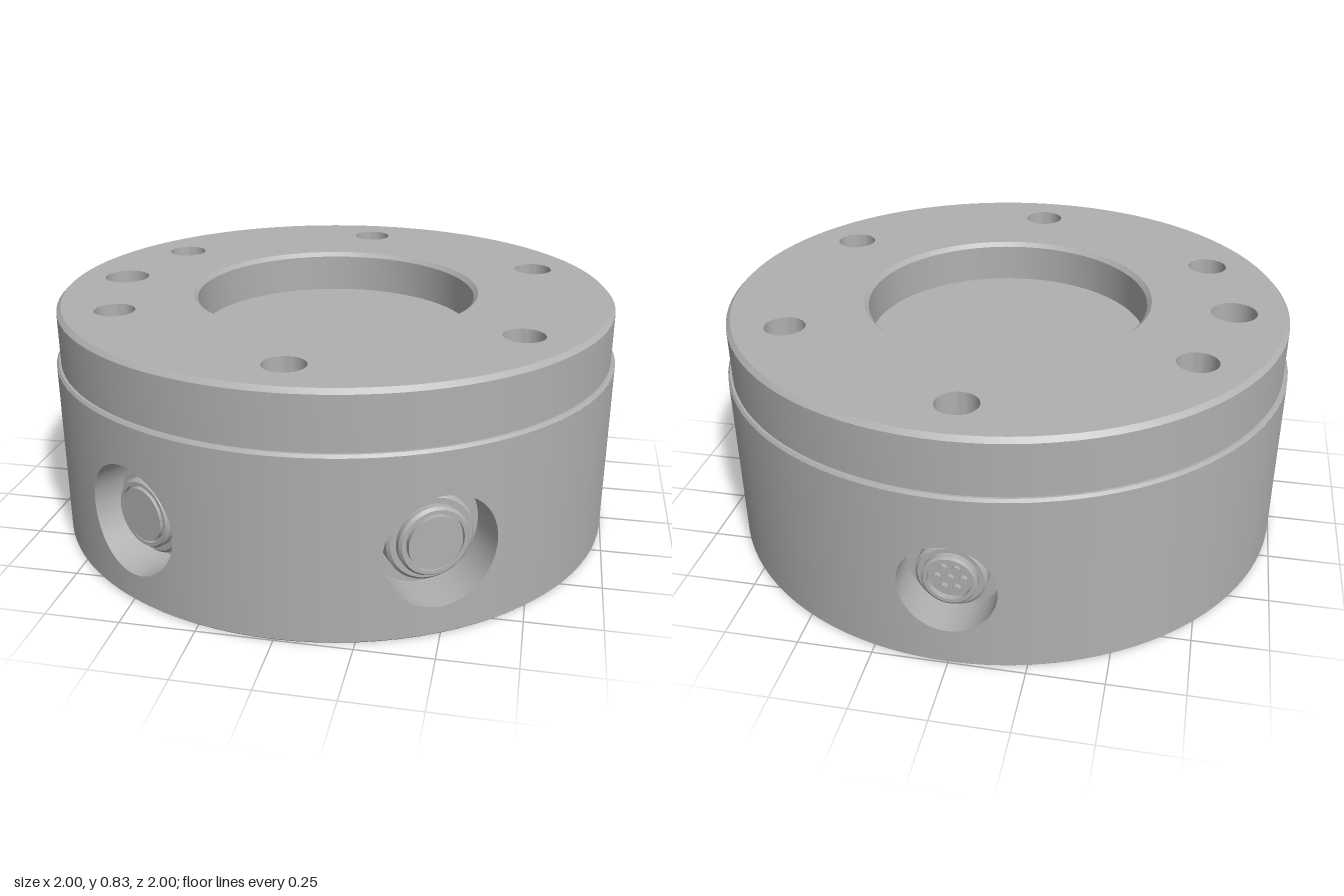
import * as THREE from 'three';
import { toCreasedNormals } from 'three/addons/utils/BufferGeometryUtils.js';

const SEG = 96;
const PORT_Y = 0.29;
const BOTTOM = 0.006, STEP = 0.625, TOP = 0.83;

// Surface of revolution with sharp edges kept sharp
function lathe(points, segments = SEG) {
  const g = new THREE.LatheGeometry(points.map(p => new THREE.Vector2(p[0], p[1])), segments);
  return toCreasedNormals(g, 0.5);
}

// Regular grid surface; fn(u, v) returns [position, normal]
function grid(nu, nv, fn) {
  const pos = [], nor = [], idx = [];
  for (let i = 0; i <= nu; i++) {
    for (let j = 0; j <= nv; j++) {
      const [p, n] = fn(i / nu, j / nv);
      pos.push(...p);
      nor.push(...n);
      if (i < nu && j < nv) {
        const a = i * (nv + 1) + j, b = a + nv + 1;
        idx.push(a, b, b + 1, a, b + 1, a + 1);
      }
    }
  }
  const g = new THREE.BufferGeometry();
  g.setAttribute('position', new THREE.Float32BufferAttribute(pos, 3));
  g.setAttribute('normal', new THREE.Float32BufferAttribute(nor, 3));
  g.setIndex(idx);
  return g;
}

export function createModel() {
  const metal = new THREE.MeshStandardMaterial({ color: 0xb0b0b0 });
  const root = new THREE.Group();
  const add = (parent, name, geometry) => {
    const m = new THREE.Mesh(geometry, metal);
    m.name = name;
    parent.add(m);
    return m;
  };

  // Underside with a fine chamfer
  add(root, 'base', lathe([[0, 0], [0.994, 0], [1, BOTTOM]]));

  // Step, upper ring and chamfered top edge
  add(root, 'upperRing', lathe([[1, STEP], [0.993, 0.635], [0.985, 0.635], [0.985, 0.815], [0.97, TOP]]));

  // Top face with the centre opening, six screw holes and one pin hole
  const holes = [{ name: 'pinHole', x: -0.795, z: 0, r: 0.08, depth: 0.1, tip: 0 }];
  for (let i = 0; i < 6; i++) {
    const a = i * Math.PI / 3;
    holes.push({ name: 'screwHole', x: 0.795 * Math.sin(a), z: 0.795 * Math.cos(a), r: 0.07, depth: 0.17, tip: 0.04 });
  }
  const face = new THREE.Shape().absarc(0, 0, 0.97, 0, Math.PI * 2);
  const cut = (x, y, r) => face.holes.push(new THREE.Path().absarc(x, y, r, 0, Math.PI * 2, true));
  cut(0, 0, 0.51);
  for (const h of holes) {
    cut(h.x, -h.z, h.r);
    const bottom = TOP - h.depth;
    add(root, h.name, lathe([[h.r, TOP], [h.r, bottom], [0, bottom - h.tip]], 48)).position.set(h.x, 0, h.z);
  }
  add(root, 'topFace', new THREE.ShapeGeometry(face, 48).rotateX(-Math.PI / 2).translate(0, TOP, 0));

  // Shallow centre recess
  add(root, 'centreRecess', lathe([[0.51, TOP], [0.495, 0.815], [0.495, 0.68], [0, 0.68]]));

  // Side ports: bores cut radially into the lower wall
  const HALF = 0.3;
  const ports = [
    { name: 'frontRightPort', angle: -Math.PI / 6, r: 0.19, floor: 0.84 },
    { name: 'frontLeftPort', angle: Math.PI / 6, r: 0.19, floor: 0.84 },
    { name: 'backPort', angle: Math.PI, r: 0.16, floor: 0.86, pins: true },
  ];
  ports.forEach((port, k) => {
    const { r, floor } = port;
    const g = new THREE.Group();
    g.name = port.name;
    g.position.y = PORT_Y;
    g.rotation.y = port.angle;
    root.add(g);

    // Curved wall panel around the bore
    add(g, 'wallPanel', grid(8, 96, (u, v) => {
      const c = Math.cos(v * Math.PI * 2), s = Math.sin(v * Math.PI * 2);
      const m = Math.max(Math.abs(c), Math.abs(s));
      const edgeY = (s / m) * (s > 0 ? STEP - PORT_Y : PORT_Y - BOTTOM);
      const a = THREE.MathUtils.lerp(Math.asin(r * c), HALF * c / m, u);
      const y = THREE.MathUtils.lerp(r * s, edgeY, u);
      const x = Math.sin(a), z = Math.cos(a);
      return [[x, y, z], [x, 0, z]];
    }));

    // Bore wall and floor
    add(g, 'boreWall', grid(1, 96, (u, v) => {
      const c = Math.cos(v * Math.PI * 2), s = Math.sin(v * Math.PI * 2);
      const outer = Math.sqrt(1 - (r * c) ** 2);
      return [[r * c, r * s, u ? outer : floor], [-c, -s, 0]];
    }));
    add(g, 'boreFloor', new THREE.CircleGeometry(r, 64).translate(0, 0, floor));

    // Connector, turned about the bore axis
    const profile = port.pins
      ? [[0.115, floor], [0.115, 0.92], [0.105, 0.93], [0.09, 0.93], [0.09, 0.95],
        [0.082, 0.955], [0.07, 0.955], [0.07, 0.935], [0, 0.935]]
      : [[0.147, floor], [0.147, 0.9], [0.137, 0.91], [0.118, 0.91], [0.118, 0.93], [0.11, 0.94],
        [0.098, 0.94], [0.098, 0.925], [0.09, 0.925], [0.09, 0.945], [0, 0.945]];
    add(g, 'connector', lathe(profile, 64).rotateX(Math.PI / 2));

    // Contact pins: one in the middle, six around it
    if (port.pins) {
      for (let i = 0; i < 7; i++) {
        const a = i * Math.PI / 3, d = i < 6 ? 0.042 : 0;
        const pin = new THREE.CylinderGeometry(0.014, 0.014, 0.014, 20).rotateX(Math.PI / 2);
        add(g, 'contactPin', pin).position.set(d * Math.cos(a), d * Math.sin(a), 0.942);
      }
    }

    // Plain wall from this panel to the next one
    const next = k < 2 ? ports[k + 1].angle : ports[0].angle + Math.PI * 2;
    const start = port.angle + HALF, length = next - HALF - start;
    const wall = new THREE.CylinderGeometry(1, 1, STEP - BOTTOM, Math.ceil(length * 16), 1, true, start, length);
    add(root, 'outerWall', wall.translate(0, (STEP + BOTTOM) / 2, 0));
  });

  return root;
}
